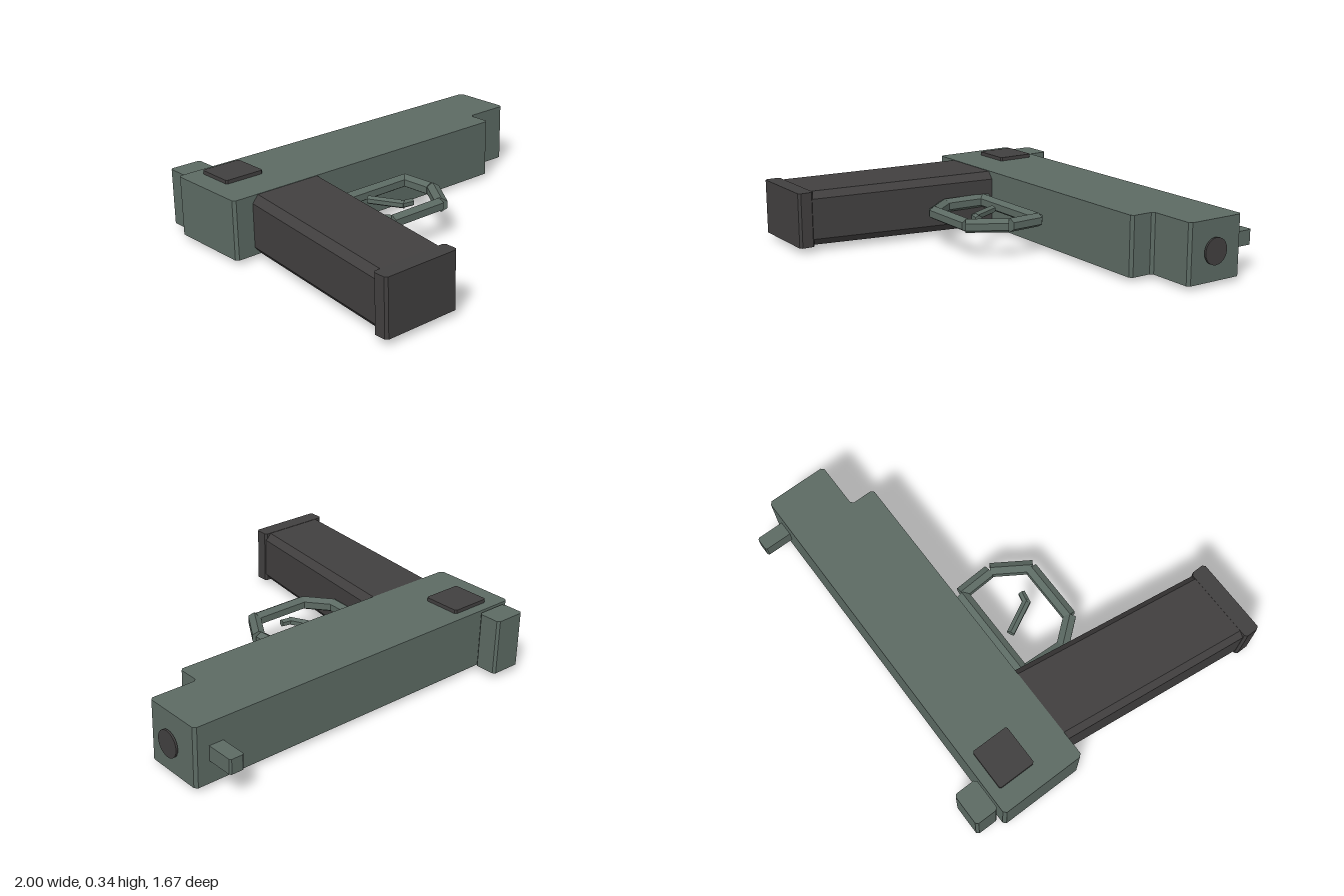
import * as THREE from 'three';

const MID = 0.172; // middle of the thickness (y)

export function createModel() {
  const group = new THREE.Group();
  const green = new THREE.MeshStandardMaterial({ color: 0x5c6a63, flatShading: true });
  green.name = 'greyGreen';
  const dark = new THREE.MeshStandardMaterial({ color: 0x413f3f, flatShading: true });
  dark.name = 'charcoal';

  const add = (name, geometry, material) => {
    const mesh = new THREE.Mesh(geometry, material);
    mesh.name = name;
    group.add(mesh);
    return mesh;
  };

  // Outline in x/z with every corner cut by c, extruded from y0 to y1
  const slab = (pts, c, y0, y1) => {
    const v = pts.map(([x, z]) => new THREE.Vector2(x, -z));
    const cut = [];
    v.forEach((p, i) => {
      for (const q of [v[(i + v.length - 1) % v.length], v[(i + 1) % v.length]]) {
        cut.push(p.clone().add(q.clone().sub(p).setLength(c)));
      }
    });
    const g = new THREE.ExtrudeGeometry(new THREE.Shape(cut), { depth: y1 - y0, bevelEnabled: false });
    return g.rotateX(-Math.PI / 2).translate(0, y0, 0);
  };
  const rect = (x0, x1, z0, z1) => [[x0, z0], [x1, z0], [x1, z1], [x0, z1]];

  // Body with the step under the muzzle
  add('body', slab([[-0.977, -0.695], [0.977, -0.695], [0.977, -0.37], [0.722, -0.37],
    [0.722, -0.24], [-0.977, -0.24]], 0.014, 0.02, 0.324), green);

  // Sights
  add('rearSight', slab(rect(-0.938, -0.765, -0.827, -0.703), 0.012, 0.028, 0.316), green);
  add('frontSight', slab(rect(0.824, 0.9, -0.84, -0.68), 0.008, 0.134, 0.21), green);

  // Square plates on both faces
  add('lowerPlate', slab(rect(-0.872, -0.657, -0.642, -0.442), 0.008, 0, 0.02), dark);
  add('upperPlate', slab(rect(-0.872, -0.657, -0.642, -0.442), 0.008, 0.324, 0.343), dark);

  // Muzzle disc, just clear of the front face
  const muzzle = add('muzzle', new THREE.CylinderGeometry(0.067, 0.067, 0.01, 24), dark);
  muzzle.rotation.z = -Math.PI / 2;
  muzzle.position.set(0.992, MID, -0.52);

  // Grip: chamfered section, leaning back and tapering towards the base
  const w = 0.21, h = 0.15, cx = 0.032, cy = 0.038, len = 1.0;
  const section = new THREE.Shape([
    [w - cx, -h], [w, cy - h], [w, h - cy], [w - cx, h],
    [cx - w, h], [-w, h - cy], [-w, cy - h], [cx - w, -h],
  ].map(([x, y]) => new THREE.Vector2(x, y)));
  const gripGeo = new THREE.ExtrudeGeometry(section, { depth: len, bevelEnabled: false });
  const pos = gripGeo.attributes.position;
  for (let i = 0; i < pos.count; i++) {
    const t = pos.getZ(i) / len;
    pos.setXYZ(i, pos.getX(i) * (1 - 0.06 * t) - 0.66 - 0.13 * t,
      MID + pos.getY(i) * (1 - 0.06 * t), -0.24 + t * len);
  }
  gripGeo.computeVertexNormals();
  add('grip', gripGeo, dark);
  add('gripBase', slab(rect(-1, -0.588, 0.752, 0.835), 0.012, 0.029, 0.315), dark);

  // Six-sided bar between two x/z points, one edge facing up
  const bar = (name, [x0, z0], [x1, z1], r) => {
    const g = new THREE.CylinderGeometry(r, r, Math.hypot(x1 - x0, z1 - z0), 6);
    g.rotateX(Math.PI / 2); // axis along z, edge along y
    const mesh = add(name, g, green);
    mesh.position.set((x0 + x1) / 2, MID, (z0 + z1) / 2);
    mesh.rotation.y = Math.atan2(x1 - x0, z1 - z0);
  };

  // Trigger guard
  [
    [[-0.48, -0.187], [0.045, -0.187]],
    [[0.052, -0.187], [0.062, -0.005]],
    [[0.067, 0.005], [-0.05, 0.187]],
    [[-0.052, 0.174], [-0.368, 0.174]],
    [[-0.368, 0.174], [-0.478, 0.04]],
    [[-0.472, 0.04], [-0.46, -0.22]],
  ].forEach(([a, b]) => bar('triggerGuard', a, b, 0.036));

  // Trigger
  bar('trigger', [-0.262, -0.115], [-0.175, 0.055], 0.022);
  bar('triggerTip', [-0.185, 0.046], [-0.125, 0.058], 0.02);

  return group;
}
